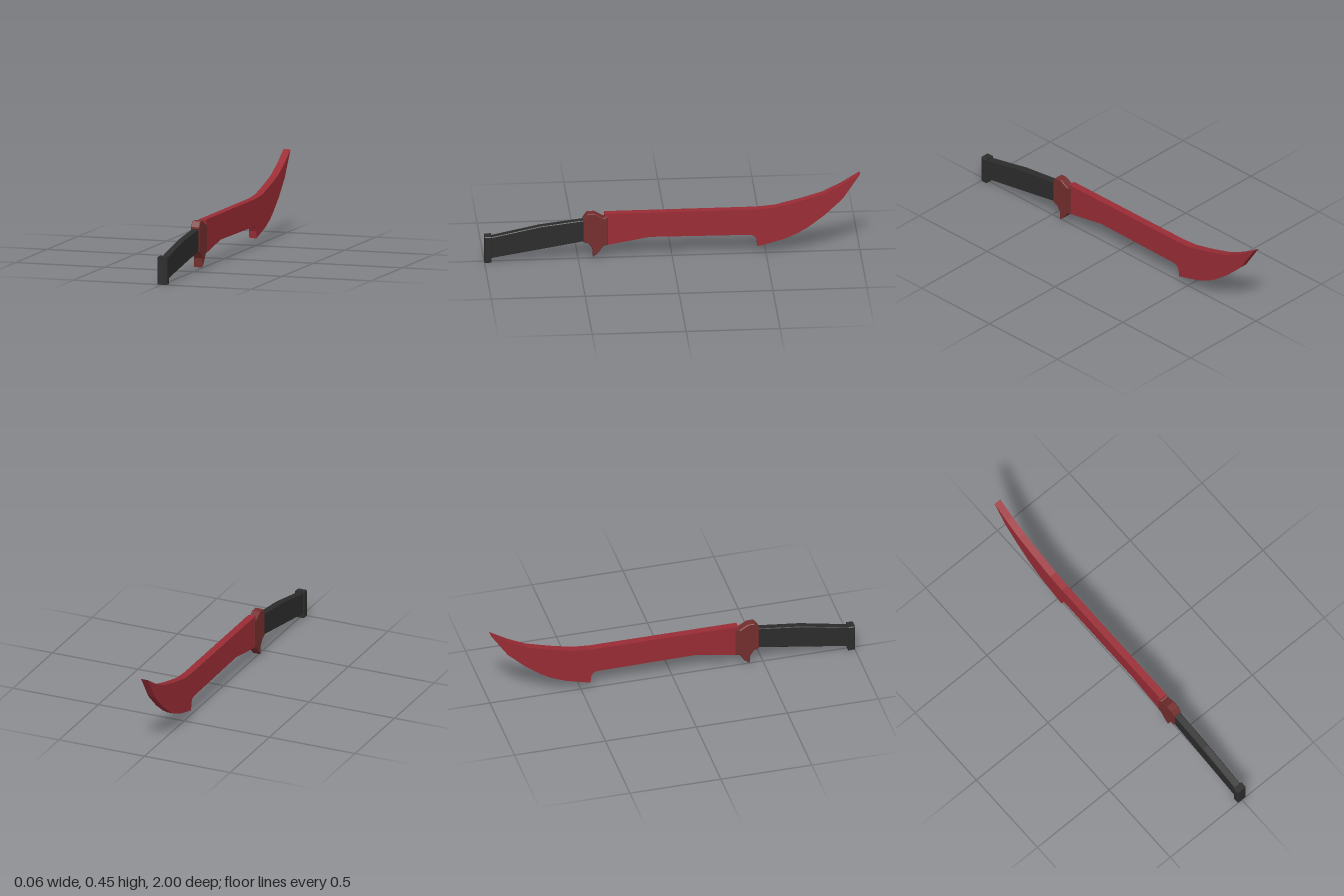
import * as THREE from 'three';

// Extrudes a side outline of [z, y] points to a given thickness, centred on x = 0
function plate(name, points, thickness, bevel, material) {
  const shape = new THREE.Shape(points.map(([z, y]) => new THREE.Vector2(-z, y)));
  const geometry = new THREE.ExtrudeGeometry(shape, {
    depth: thickness - 2 * bevel,
    bevelEnabled: bevel > 0,
    bevelThickness: bevel,
    bevelSize: bevel,
    bevelOffset: -bevel,
    bevelSegments: 1,
  });
  geometry.translate(0, 0, bevel - thickness / 2);
  geometry.rotateY(Math.PI / 2);
  const mesh = new THREE.Mesh(geometry, material);
  mesh.name = name;
  return mesh;
}

export function createModel() {
  const paint = (name, color) => {
    const material = new THREE.MeshStandardMaterial({ color, flatShading: true });
    material.name = name;
    return material;
  };
  const red = paint('blade red', 0x9a2c35);
  const brown = paint('guard brown red', 0x742e2d);
  const black = paint('grip black', 0x2c2c2c);

  const group = new THREE.Group();
  group.name = 'machete';

  // Curved blade with a hooked step on the cutting edge
  group.add(plate('blade', [
    [0.36, 0.078], [0.12, 0.12], [-0.42, 0.114], [-0.44, 0.104], [-0.449, 0.085],
    [-0.453, 0.046], [-0.59, 0.083], [-0.667, 0.115], [-0.725, 0.15], [-0.81, 0.215],
    [-0.908, 0.308], [-1, 0.447], [-0.9, 0.385], [-0.8, 0.336], [-0.67, 0.298],
    [-0.545, 0.268], [-0.45, 0.26], [0.36, 0.26],
  ], 0.04, 0, red));

  // Guard with a downward finger spur
  group.add(plate('guard', [
    [0.474, 0.235], [0.474, 0.102], [0.445, 0.092], [0.424, 0.062], [0.422, 0.013],
    [0.394, 0.038], [0.367, 0.076], [0.343, 0.083], [0.343, 0.246], [0.367, 0.236],
    [0.415, 0.264], [0.452, 0.264],
  ], 0.047, 0.003, brown));

  // Bent grip
  group.add(plate('grip', [
    [0.975, 0.022], [0.465, 0.106], [0.465, 0.226], [0.704, 0.197], [0.975, 0.141],
  ], 0.038, 0.003, black));

  // Pommel cap
  group.add(plate('pommel', [
    [1, 0], [0.963, 0], [0.963, 0.15], [1, 0.15],
  ], 0.056, 0.004, black));

  return group;
}
